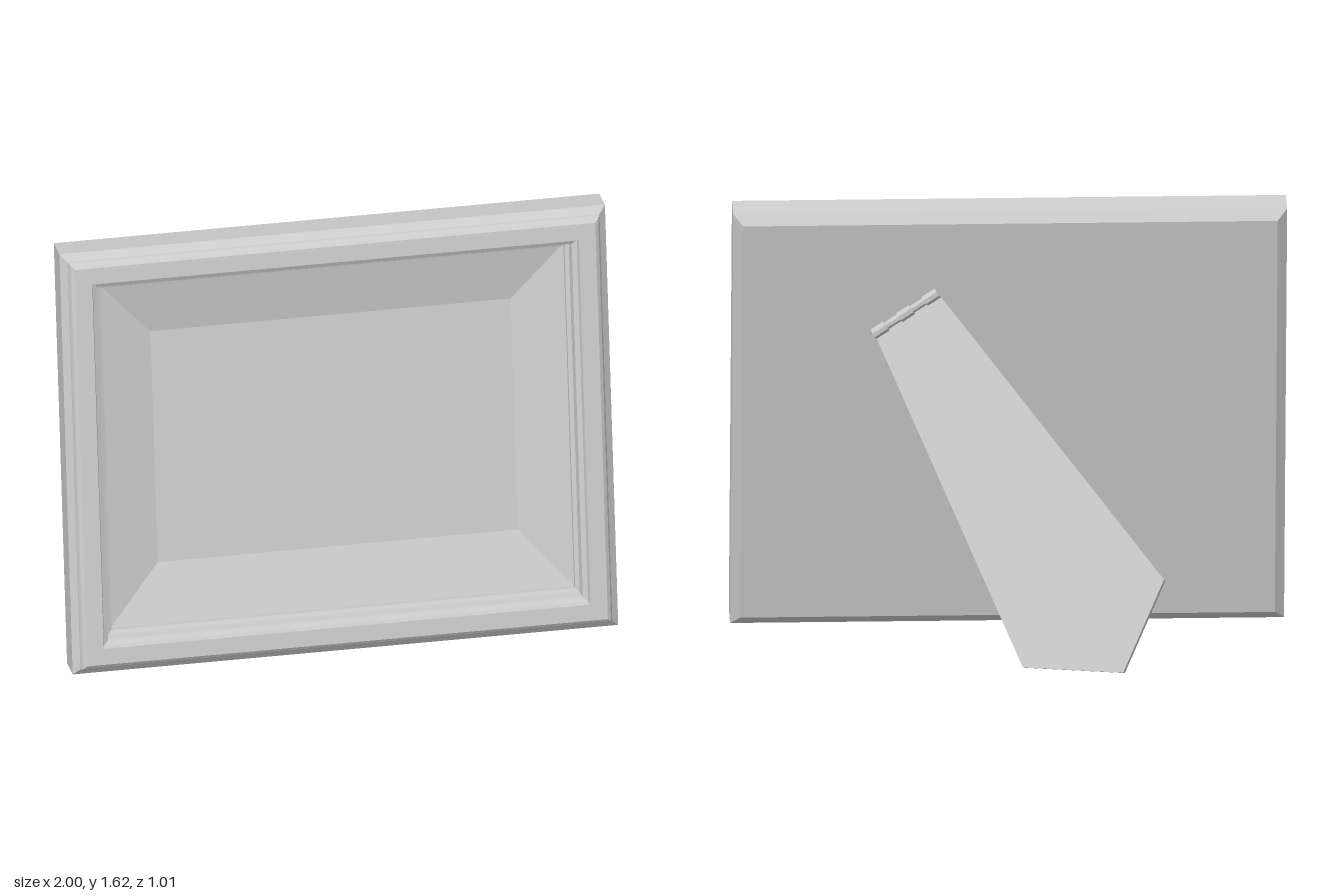
import * as THREE from 'three';

const material = new THREE.MeshStandardMaterial({ color: 0xcccccc, flatShading: true });

function mesh(name, geometry) {
  const m = new THREE.Mesh(geometry, material);
  m.name = name;
  return m;
}

// Joins rectangular rings [halfWidth, halfHeight, z] with mitred corners.
// cap: fill the last ring.
function loftRings(rings, cap = false) {
  const corners = rings.map(([w, h, z]) => [[-w, -h, z], [w, -h, z], [w, h, z], [-w, h, z]]);
  const pos = [];
  const quad = (a, b, c, d) => pos.push(...a, ...b, ...c, ...a, ...c, ...d);
  for (let i = 0; i < corners.length - 1; i++) {
    for (let k = 0; k < 4; k++) {
      const n = (k + 1) % 4;
      quad(corners[i][k], corners[i][n], corners[i + 1][n], corners[i + 1][k]);
    }
  }
  if (cap) quad(...corners[corners.length - 1]);
  const g = new THREE.BufferGeometry();
  g.setAttribute('position', new THREE.Float32BufferAttribute(pos, 3));
  g.computeVertexNormals();
  return g;
}

export function createModel() {
  const model = new THREE.Group();
  model.name = 'pictureFrame';

  // Leaning frame; local z = 0 is its back face
  const W = 1, H = 0.811;
  const frame = new THREE.Group();
  frame.name = 'frame';
  frame.position.set(0, 0.795, 0.185);
  frame.rotation.set(-0.167, -0.0075, 0, 'YXZ');
  model.add(frame);

  // Moulding profile: [inset from the outer edge, z]
  const profile = [
    [0.035, 0], [0, 0.031], [0, 0.147], [0.025, 0.17], [0.027, 0.178], [0.033, 0.19], [0.046, 0.2],
    [0.108, 0.2], [0.113, 0.18], [0.13, 0.17], [0.135, 0.135], [0.15, 0.128], [0.15, 0.107],
  ];
  frame.add(mesh('moulding', loftRings(profile.map(([d, z]) => [W - d, H - d, z]))));

  // Dished picture panel with a flat centre
  frame.add(mesh('picturePanel', loftRings([[W - 0.15, H - 0.15, 0.107], [0.66, 0.446, 0.05]], true)));

  // Flat back
  const back = mesh('backPanel', new THREE.PlaneGeometry(2 * (W - 0.035), 2 * (H - 0.035)));
  back.rotation.y = Math.PI;
  frame.add(back);

  // Easel stand: local x runs along the hinge, y down the leg, z out of its back
  const across = new THREE.Vector3(0.824, -0.562, 0.077).normalize();
  const outward = across.clone().cross(new THREE.Vector3(-0.491, -0.775, -0.398)).normalize();
  const down = outward.clone().cross(across);
  const stand = new THREE.Group();
  stand.name = 'stand';
  stand.quaternion.setFromRotationMatrix(new THREE.Matrix4().makeBasis(across, down, outward));
  stand.position.set(0.375, 1.215, 0.115);
  model.add(stand);

  // Tapered leg with a pointed foot
  const outline = [[-0.14, 0.015], [0.14, 0.015], [0.305, 1.32], [0, 1.535], [-0.305, 1.33]];
  const legShape = new THREE.Shape(outline.map(([x, y]) => new THREE.Vector2(x, y)));
  const leg = mesh('standLeg', new THREE.ExtrudeGeometry(legShape, { depth: 0.026, bevelEnabled: false }));
  leg.position.z = -0.026;
  stand.add(leg);

  // Hinge knuckles, alternating thick and thin
  for (let i = 0; i < 5; i++) {
    const radius = i % 2 ? 0.015 : 0.021;
    const knuckle = mesh('hingeKnuckle', new THREE.CylinderGeometry(radius, radius, 0.056, 8));
    knuckle.rotation.z = Math.PI / 2;
    knuckle.position.set((i - 2) * 0.056, 0, 0.004);
    stand.add(knuckle);
  }

  return model;
}
